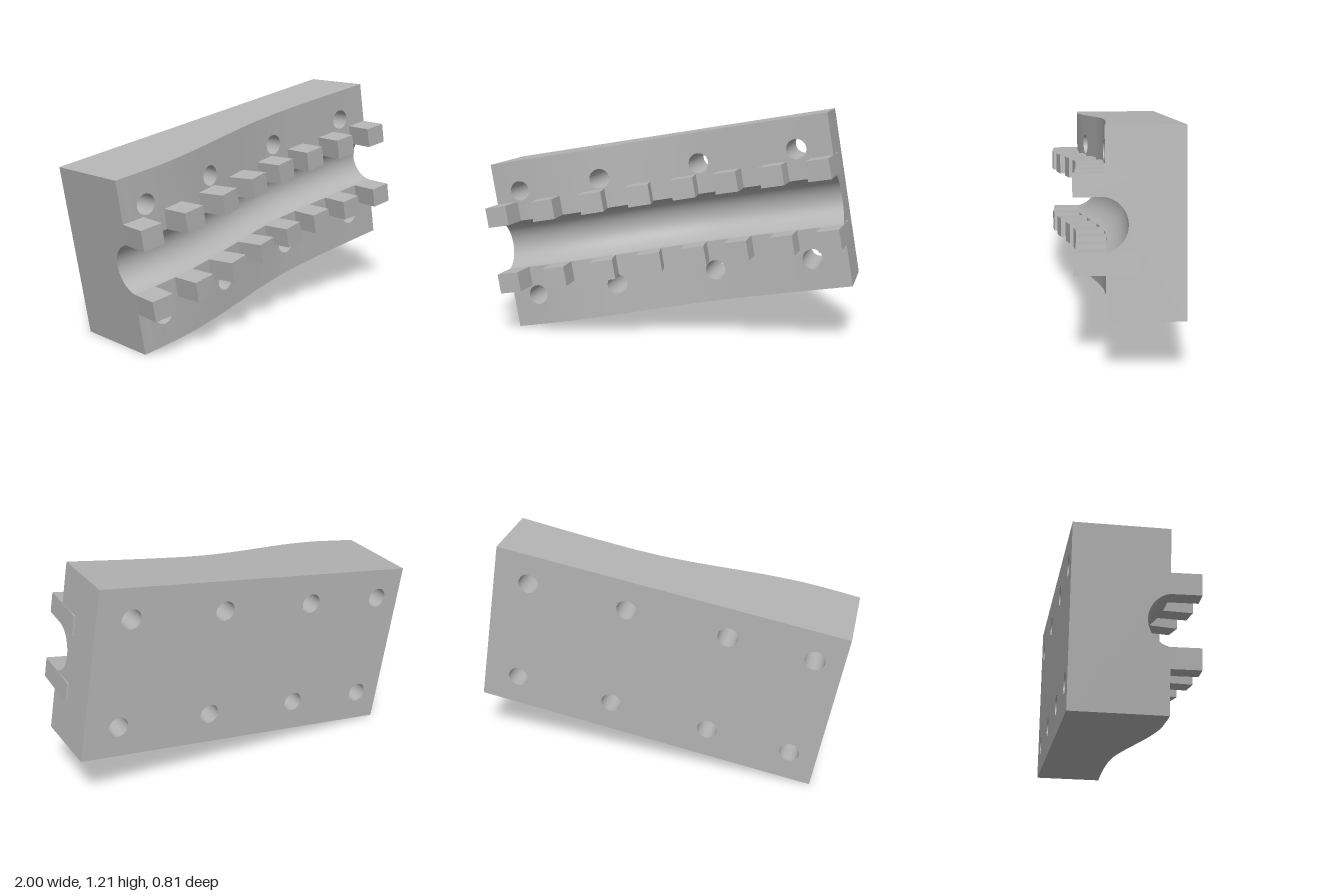
import * as THREE from 'three';
import { mergeGeometries, mergeVertices } from 'three/addons/utils/BufferGeometryUtils.js';
import { ParametricGeometry } from 'three/addons/geometries/ParametricGeometry.js';

// Block frame: x along the length, y across, z through the thickness (back at z = 0)
const L = 1.845, H = 0.912, MID = H / 2;
const R = 0.132, LIFT = 0.025, ARC = Math.acos(LIFT / R), HALF = R * Math.sin(ARC);
const HOLE_R = 0.053, HOLE_X = [0.146, 0.595, 1.13, 1.658], HOLE_Y = [0.166, 0.748];

// Thickness of the block along its length
const curve = new THREE.CubicInterpolant(
  [0, 0.15, 0.3, 0.5, 0.7, 0.9, 1.1, 1.3, 1.6, L],
  [0.472, 0.479, 0.478, 0.455, 0.418, 0.381, 0.356, 0.354, 0.363, 0.377], 1);
const depth = x => curve.evaluate(Math.min(L, Math.max(0, x)))[0];
const slope = x => (depth(x + 0.03) - depth(x - 0.03)) / 0.06;

// Stations along the length: one column around each hole, finer columns between
function stations() {
  const xs = [0];
  const fill = to => {
    const from = xs[xs.length - 1];
    for (let i = 1; i <= 6; i++) xs.push(from + (to - from) * i / 6);
  };
  for (const x of HOLE_X) { fill(x - 0.07); xs.push(x + 0.07); }
  fill(L);
  return xs;
}

function panel(x0, x1, y0, y1, holes) {
  const shape = new THREE.Shape([[x0, y0], [x1, y0], [x1, y1], [x0, y1]].map(p => new THREE.Vector2(...p)));
  for (const [x, y] of holes) {
    if (x > x0 && x < x1 && y > y0 && y < y1) {
      shape.holes.push(new THREE.Path().absarc(x, y, HOLE_R, 0, Math.PI * 2, true));
    }
  }
  return new THREE.ShapeGeometry(shape, 16);
}

function flip(geometry) {
  const a = geometry.index.array;
  for (let i = 0; i < a.length; i += 3) [a[i], a[i + 1]] = [a[i + 1], a[i]];
  geometry.computeVertexNormals();
  return geometry;
}

export function createModel() {
  const steel = new THREE.MeshStandardMaterial({ color: 0xb4b4b4, side: THREE.DoubleSide });
  steel.name = 'grey';
  const block = new THREE.Group();
  block.name = 'block';
  const add = (geometry, name) => {
    const mesh = new THREE.Mesh(geometry, steel);
    mesh.name = name;
    block.add(mesh);
    return mesh;
  };
  const xs = stations();
  const holes = HOLE_X.flatMap(x => HOLE_Y.map(y => [x, y]));

  // Curved front lands on both sides of the groove
  for (const [y0, y1, name] of [[0, MID - HALF, 'lowerLand'], [MID + HALF, H, 'upperLand']]) {
    const cells = [];
    for (let i = 1; i < xs.length; i++) cells.push(panel(xs[i - 1], xs[i], y0, y1, holes));
    let land = mergeGeometries(cells);
    land.deleteAttribute('uv');
    const p = land.attributes.position;
    for (let i = 0; i < p.count; i++) p.setZ(i, depth(p.getX(i)));
    land = mergeVertices(land, 1e-5);
    land.computeVertexNormals();
    add(land, name);
  }

  // Round groove following the curve
  add(new ParametricGeometry((u, v, target) => {
    const a = (v * 2 - 1) * ARC, x = u * L;
    target.set(x, MID + R * Math.sin(a), depth(x) + LIFT - R * Math.cos(a));
  }, 48, 24), 'groove');

  // Flat back
  add(flip(panel(0, L, 0, H, holes)), 'back');

  // Long sides
  const profile = new THREE.Shape([new THREE.Vector2(0, 0), new THREE.Vector2(L, 0),
    ...[...xs].reverse().map(x => new THREE.Vector2(x, depth(x)))]);
  const bottom = new THREE.ShapeGeometry(profile).rotateX(Math.PI / 2);
  add(bottom, 'bottomSide').scale.y = 1;
  add(flip(bottom.clone()), 'topSide').position.y = H;
  // Both long sides face outward
  const lower = block.getObjectByName('bottomSide');
  lower.geometry.computeVertexNormals();

  // Ends with the groove cut out
  for (const [x, name] of [[0, 'leftEnd'], [L, 'rightEnd']]) {
    const d = depth(x), points = [[0, 0], [H, 0], [H, d]];
    for (let i = 0; i <= 24; i++) {
      const a = ARC * (1 - i / 12);
      points.push([MID + R * Math.sin(a), d + LIFT - R * Math.cos(a)]);
    }
    points.push([0, d]);
    const end = new THREE.ShapeGeometry(new THREE.Shape(points.map(p => new THREE.Vector2(...p))));
    // Shape axes become y and z
    end.applyMatrix4(new THREE.Matrix4().makeBasis(
      new THREE.Vector3(0, 1, 0), new THREE.Vector3(0, 0, 1), new THREE.Vector3(1, 0, 0)));
    if (x === 0) flip(end);
    add(end, name).position.x = x;
  }

  // Bolt hole walls, running from the back to the curved front
  for (const [x, y] of holes) {
    const wall = new THREE.CylinderGeometry(HOLE_R, HOLE_R, 1, 32, 1, true).rotateX(Math.PI / 2);
    wall.translate(x, y, 0.5);
    const p = wall.attributes.position;
    for (let i = 0; i < p.count; i++) p.setZ(i, p.getZ(i) > 0.5 ? depth(p.getX(i)) : 0);
    add(wall, 'boltHole');
  }

  // Two rows of teeth, square to the curve and sunk into the block
  const toothGeometry = new THREE.BoxGeometry(0.12, 0.106, 0.31).translate(0, 0, -0.005);
  for (const side of [-1, 1]) {
    for (let i = 0; i < 8; i++) {
      const x = 0.06 + i * (L - 0.12) / 7;
      const tooth = add(toothGeometry, side < 0 ? 'lowerTooth' : 'upperTooth');
      tooth.position.set(x, MID + side * 0.182, depth(x));
      tooth.rotation.y = -Math.atan(slope(x));
    }
  }

  // Tilted resting pose
  const w = new THREE.Vector3(0.096, 0, 0.995).normalize();
  const u = new THREE.Vector3(0.981, 0.168, -0.0947).normalize();
  const v = new THREE.Vector3().crossVectors(w, u).normalize();
  block.quaternion.setFromRotationMatrix(new THREE.Matrix4().makeBasis(u, v, w));
  block.position.set(-0.848, 0, -0.225);

  const model = new THREE.Group();
  model.name = 'groovedBlock';
  model.add(block);
  return model;
}
